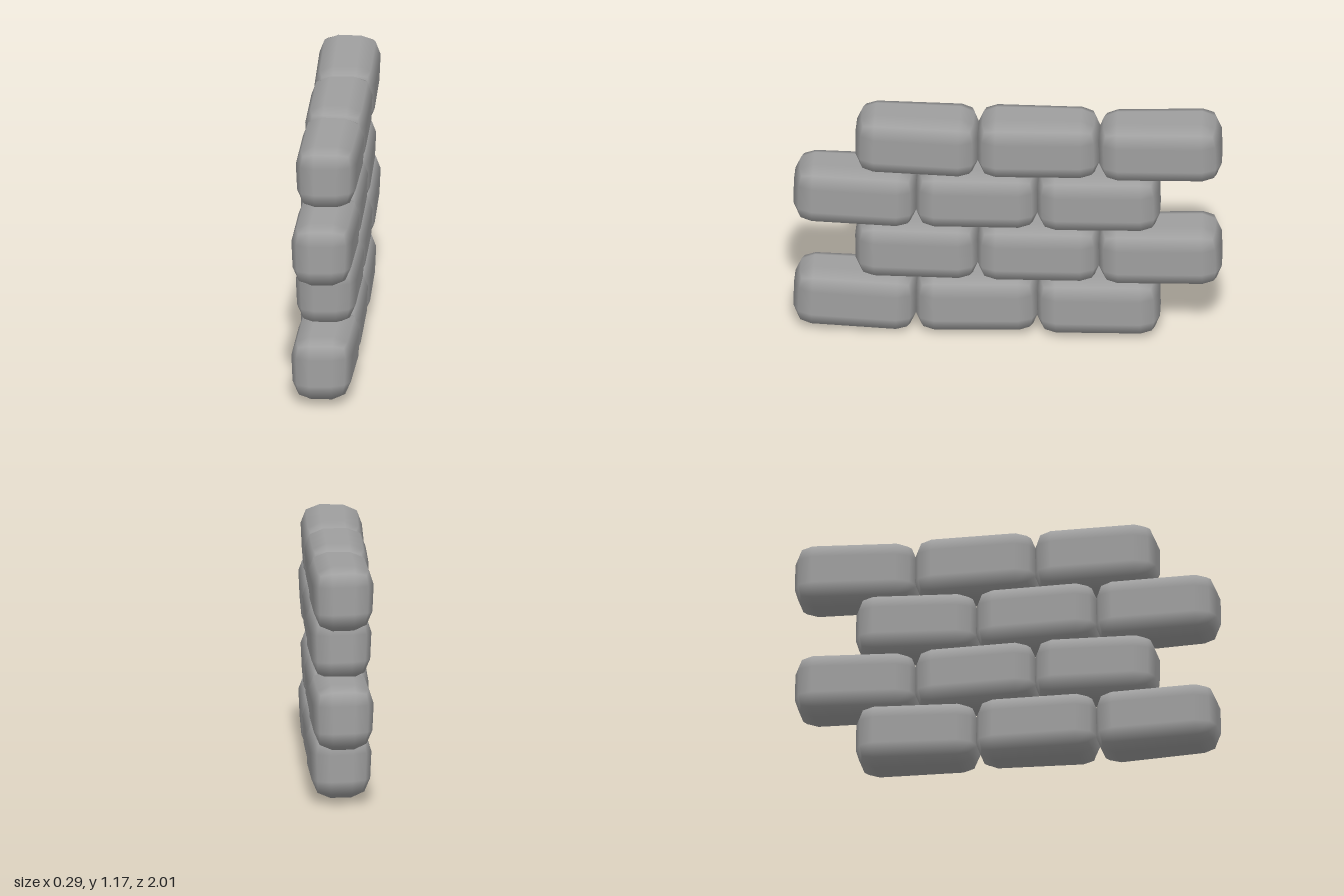
import * as THREE from 'three';
import { RoundedBoxGeometry } from 'three/addons/geometries/RoundedBoxGeometry.js';

const WIDTH = 0.287, HEIGHT = 0.308, LENGTH = 0.578, PITCH = 0.57;

// Coarse pillow-shaped stone, a little narrower underneath and gently twisted
function stoneGeometry(twist) {
  const geometry = new RoundedBoxGeometry(WIDTH, HEIGHT, LENGTH, 1, 0.09);
  const p = geometry.attributes.position;
  for (let i = 0; i < p.count; i++) {
    const x = p.getX(i), y = p.getY(i), z = p.getZ(i);
    const taper = 1 + 0.1 * (y / HEIGHT - 0.2);
    p.setXYZ(i, x * taper, y + twist * x * z, z);
  }
  return geometry;
}

export function createModel() {
  const wall = new THREE.Group();
  wall.name = 'stoneWall';
  const material = new THREE.MeshStandardMaterial({ color: 0x9f9f9f });

  // Courses from the bottom up: height of centre, and slope of each stone from front to back
  const courses = [
    { y: 0.159, slopes: [-0.025, 0.016, 0.02] },
    { y: 0.443, slopes: [0.016, 0, 0.024] },
    { y: 0.727, slopes: [-0.016, 0, 0.024] },
    { y: 1.011, slopes: [-0.012, 0.008, 0.024] },
  ];

  courses.forEach(({ y, slopes }, row) => {
    const course = new THREE.Group();
    course.name = `course${row + 1}`;
    // Alternate courses are shifted by half a stone
    const shift = row % 2 === 0 ? 0.145 : -0.145;
    slopes.forEach((slope, i) => {
      const stone = new THREE.Mesh(stoneGeometry(i === 1 ? -0.1 : 0.1), material);
      stone.name = `stone${i + 1}`;
      stone.position.set(0, y, shift + (1 - i) * PITCH);
      stone.rotation.set(slope, (i - 1) * 0.015, 0);
      course.add(stone);
    });
    wall.add(course);
  });

  return wall;
}
